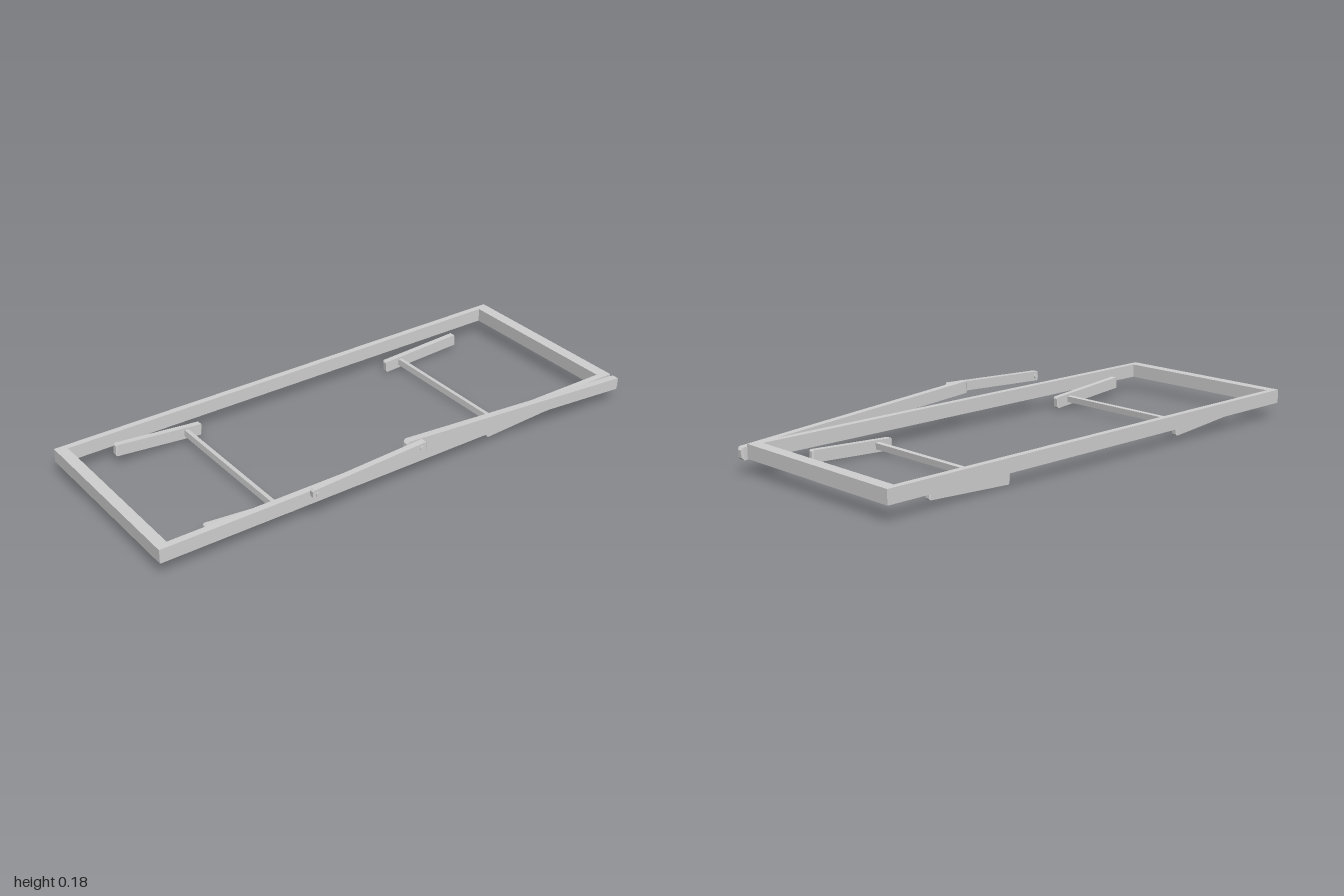
import * as THREE from 'three';

export function createModel() {
  const group = new THREE.Group();
  const grey = new THREE.MeshStandardMaterial({ color: 0xd0d0d0 });

  const add = (name, geometry) => {
    const mesh = new THREE.Mesh(geometry, grey);
    mesh.name = name;
    group.add(mesh);
  };

  // Square-edged bar from a to b (each [z, y]), spanning x0..x1 across.
  // Its two ends taper inwards by `cut` on all four sides.
  function bar(name, a, b, height, x0, x1, cut) {
    const dz = b[0] - a[0], dy = b[1] - a[1];
    const length = Math.hypot(dz, dy), width = x1 - x0;
    const box = new THREE.BoxGeometry(width, height, length, 1, 1, 3);
    const p = box.attributes.position;
    for (let i = 0; i < p.count; i++) {
      const z = p.getZ(i);
      if (Math.abs(z) > length * 0.4) {
        p.setX(i, Math.sign(p.getX(i)) * (width / 2 - cut * 0.6));
        p.setY(i, Math.sign(p.getY(i)) * (height / 2 - cut));
      } else {
        p.setZ(i, Math.sign(z) * (length / 2 - cut));
      }
    }
    const geometry = box.toNonIndexed();
    geometry.computeVertexNormals();
    geometry.rotateX(-Math.atan2(dy, dz));
    geometry.translate((x0 + x1) / 2, (a[1] + b[1]) / 2, (a[0] + b[0]) / 2);
    add(name, geometry);
  }

  // Rectangular frame with an open middle
  const rect = (Type, x0, x1, z0, z1) => new Type([
    new THREE.Vector2(x0, -z1), new THREE.Vector2(x1, -z1),
    new THREE.Vector2(x1, -z0), new THREE.Vector2(x0, -z0),
  ]);
  const outline = rect(THREE.Shape, -0.405, 0.346, -0.978, 1);
  outline.holes.push(rect(THREE.Path, -0.38, 0.319, -0.932, 0.957));
  const frame = new THREE.ExtrudeGeometry(outline, { depth: 0.053, bevelEnabled: false });
  frame.rotateX(-Math.PI / 2);
  frame.translate(0, 0.059, 0);
  add('frame', frame);

  // Two pairs of folded legs, each joined by a slightly tilted cross bar
  const legs = [
    { name: 'front', a: [0.443, 0.035], b: [0.797, 0.067], cross: [0.509, 0.043] },
    { name: 'rear', a: [-0.765, 0.041], b: [-0.411, 0.023], cross: [-0.479, 0.029] },
  ];
  for (const { name, a, b, cross } of legs) {
    bar(name + 'RightLeg', a, b, 0.045, -0.353, -0.33, 0.005);
    bar(name + 'LeftLeg', a, b, 0.045, 0.268, 0.291, 0.005);
    const crossBar = new THREE.BoxGeometry(0.604, 0.024, 0.017);
    crossBar.rotateX(-0.1);
    crossBar.translate(-0.031, cross[1], cross[0]);
    add(name + 'CrossBar', crossBar);
  }

  // Folding support arms on the left side
  bar('longArm', [-1, 0.078], [0.03, 0.155], 0.046, 0.346, 0.374, 0.009);
  bar('shortArm', [-0.04, 0.154], [0.443, 0.132], 0.037, 0.376, 0.401, 0.007);

  // Pivot pins
  for (const [z, y] of [[0.425, 0.132], [-0.015, 0.153]]) {
    const pin = new THREE.CylinderGeometry(0.009, 0.009, 0.035, 12);
    pin.rotateZ(Math.PI / 2);
    pin.translate(0.3875, y, z);
    add('pivotPin', pin);
  }
  return group;
}
